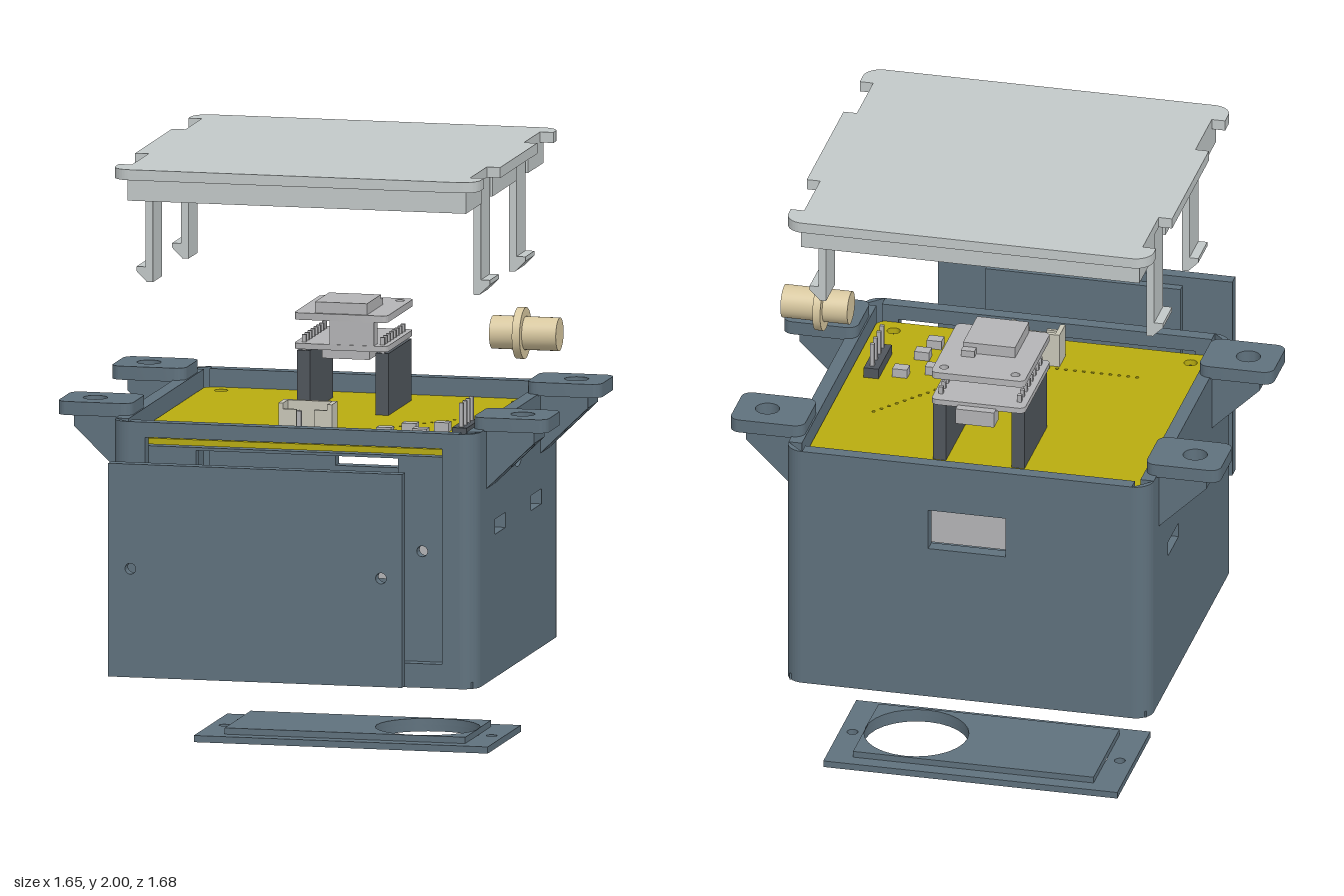
import * as THREE from 'three';
import { toCreasedNormals } from 'three/addons/utils/BufferGeometryUtils.js';

const mat = (color) => new THREE.MeshStandardMaterial({ color });
const SHELL = mat(0x5f717d), LID = mat(0xc2c8c8), BOARD = mat(0xb8ac10), BRASS = mat(0xd8c8a0);
const GREY = mat(0xb4b4b6), DARK = mat(0x50565c), CREAM = mat(0xc9c7b8), TAN = mat(0xc8a47c);
const ZC = -0.26; // middle of the case in z

export function createModel() {
  const model = new THREE.Group();

  function add(name, geo, material, parent = model) {
    const mesh = new THREE.Mesh(geo, material);
    mesh.name = name;
    parent.add(mesh);
    return mesh;
  }
  function group(name) {
    const g = new THREE.Group();
    g.name = name;
    model.add(g);
    return g;
  }
  // box given by its two extreme corners
  function box(name, x0, x1, y0, y1, z0, z1, material, parent) {
    const geo = new THREE.BoxGeometry(x1 - x0, y1 - y0, z1 - z0);
    geo.translate((x0 + x1) / 2, (y0 + y1) / 2, (z0 + z1) / 2);
    return add(name, geo, material, parent);
  }
  function rect(x0, x1, y0, y1, r = 0) {
    const s = new THREE.Shape();
    if (!r) {
      s.moveTo(x0, y0).lineTo(x1, y0).lineTo(x1, y1).lineTo(x0, y1).closePath();
      return s;
    }
    s.absarc(x1 - r, y0 + r, r, -Math.PI / 2, 0);
    s.absarc(x1 - r, y1 - r, r, 0, Math.PI / 2);
    s.absarc(x0 + r, y1 - r, r, Math.PI / 2, Math.PI);
    s.absarc(x0 + r, y0 + r, r, Math.PI, Math.PI * 1.5);
    s.closePath();
    return s;
  }
  const circle = (x, y, r) => new THREE.Shape().absarc(x, y, r, 0, Math.PI * 2);
  function extrude(shape, holes, depth) {
    shape.holes.push(...holes);
    return new THREE.ExtrudeGeometry(shape, { depth, bevelEnabled: false, curveSegments: 14 });
  }
  const crease = (geo) => toCreasedNormals(geo, 0.6);
  // plates facing front, up (shape y is -z) and sideways (shape x is -z)
  const frontPlate = (shape, holes, z0, z1) => crease(extrude(shape, holes, z1 - z0).translate(0, 0, z0));
  const flatPlate = (shape, holes, y0, y1) => crease(extrude(shape, holes, y1 - y0).rotateX(-Math.PI / 2).translate(0, y0, 0));
  const sidePlate = (shape, holes, x0, x1) => crease(extrude(shape, holes, x1 - x0).rotateY(Math.PI / 2).translate(x0, 0, 0));

  // ---- case: walls with openings, round corner posts, recessed floor
  const shell = group('case');
  const B = 0.32, T = 1.165, R = 0.06, W = 0.045;
  const screwHoles = [-1, 1].map((s) => circle(s * 0.422, 0.765, 0.018));
  add('frontWall', frontPlate(rect(-0.555, 0.555, B, T), [rect(-0.5, 0.5, 0.4, 1.115)], 0.32 - W, 0.32), SHELL, shell);
  add('frontRebate', frontPlate(rect(-0.57, 0.57, 0.33, 1.08), [rect(-0.34, 0.34, 0.47, 1.07), ...screwHoles], 0.235, 0.32 - W), SHELL, shell);
  add('backWall', frontPlate(rect(-0.555, 0.555, B, T), [rect(-0.13, 0.13, 0.86, 1.0)], -0.84, -0.84 + W), SHELL, shell);
  for (const s of [-1, 1]) {
    const holes = [rect(-0.06, 0.085, 0.795, 0.845), rect(0.435, 0.58, 0.795, 0.845)];
    if (s > 0) holes.push(circle(0.26, 1.03, 0.06));
    const x0 = s > 0 ? 0.615 - W : -0.615;
    add('sideWall', sidePlate(rect(-0.26, 0.78, B, T), holes, x0, x0 + W), SHELL, shell);
  }
  const quarter = () => new THREE.Shape().moveTo(0, 0).absarc(0, 0, R, 0, Math.PI / 2).closePath();
  [[0.555, 0.78, 0], [-0.555, 0.78, 1], [-0.555, -0.26, 2], [0.555, -0.26, 3]].forEach(([x, y, k]) => {
    const geo = extrude(quarter(), [], T - B).rotateZ(k * Math.PI / 2).rotateX(-Math.PI / 2);
    add('cornerPost', crease(geo.translate(x, B, -y)), SHELL, shell);
  });
  add('floor', flatPlate(rect(-0.6, 0.6, -0.305, 0.825), [rect(-0.5, 0.5, 0.335, 0.805)], B, B + 0.022), SHELL, shell);
  add('floorRebate', flatPlate(rect(-0.57, 0.57, -0.275, 0.8),
    [rect(-0.41, 0.41, 0.385, 0.755), circle(-0.45, 0.57, 0.016), circle(0.45, 0.57, 0.016)], B + 0.022, B + 0.044), SHELL, shell);

  // ---- mounting ears with drilled gussets
  for (const s of [-1, 1]) for (const z of [0.105, -0.637]) {
    const ear = group('mountingEar');
    add('earPlate', flatPlate(rect(0.575, 0.825, -0.104, 0.104, 0.035), [circle(0.72, 0, 0.04)], 1.16, 1.205), SHELL, ear);
    const g = extrude(rect(0.6, 0.775, -0.07, 0.07), [circle(0.72, 0, 0.04)], 0.1).rotateX(-Math.PI / 2);
    const p = g.attributes.position;
    // slant the underside towards the wall
    for (let i = 0; i < p.count; i++) p.setY(i, p.getY(i) > 0.05 ? 1.16 : 0.965 + (p.getX(i) - 0.615) * 0.97);
    g.computeVertexNormals();
    add('earGusset', crease(g), SHELL, ear);
    if (s < 0) ear.rotation.y = Math.PI;
    ear.position.z = z;
  }

  // ---- lid: notched plate, skirt and snap clips
  const lid = group('lid');
  const o = new THREE.Shape();
  const notches = [[-0.215, 0.012], [0.525, 0.748]]; // along -z
  o.absarc(0.555, -0.26, R, -Math.PI / 2, 0);
  for (const [a, b] of notches) o.lineTo(0.615, a).lineTo(0.57, a).lineTo(0.57, b).lineTo(0.615, b);
  o.absarc(0.555, 0.78, R, 0, Math.PI / 2);
  o.absarc(-0.555, 0.78, R, Math.PI / 2, Math.PI);
  for (const [a, b] of [...notches].reverse()) o.lineTo(-0.615, b).lineTo(-0.57, b).lineTo(-0.57, a).lineTo(-0.615, a);
  o.absarc(-0.555, -0.26, R, Math.PI, Math.PI * 1.5);
  add('lidPlate', flatPlate(o, [], 1.965, 2), LID, lid);
  box('lidSkirt', -0.57, 0.57, 1.89, 1.965, 0.245, 0.275, LID, lid);
  box('lidSkirt', -0.57, 0.57, 1.89, 1.965, -0.795, -0.765, LID, lid);
  for (const s of [-1, 1]) {
    for (const [a, b] of [[0.06, 0.245], [-0.43, -0.09], [-0.765, -0.58]])
      box('lidSkirt', Math.min(s * 0.54, s * 0.57), Math.max(s * 0.54, s * 0.57), 1.89, 1.965, a, b, LID, lid);
    for (const z of [-0.013, -0.505]) {
      const c = new THREE.Shape().moveTo(0.54, 1.97).lineTo(0.54, 1.585).lineTo(0.56, 1.585)
        .lineTo(0.595, 1.62).lineTo(0.595, 1.635).lineTo(0.565, 1.635).lineTo(0.565, 1.97).closePath();
      const clip = add('snapClip', frontPlate(c, [], -0.063, 0.063), LID, lid);
      if (s < 0) clip.rotation.y = Math.PI;
      clip.position.z = z;
    }
  }

  // ---- front cover
  const cover = group('frontCover');
  const coverHoles = () => [-1, 1].map((s) => circle(s * 0.422, 0.765, 0.018));
  add('coverPlate', frontPlate(rect(-0.497, 0.493, 0.405, 1.112), coverHoles(), 0.803, 0.845), SHELL, cover);
  add('coverStep', frontPlate(rect(-0.33, 0.327, 0.48, 1.08), [], 0.773, 0.803), SHELL, cover);

  // ---- bottom cover with two round openings
  const base = group('bottomCover');
  const eyes = () => [-1, 1].map((s) => circle(s * 0.235, 0.57, 0.172));
  add('basePlate', flatPlate(rect(-0.497, 0.493, 0.34, 0.8), [...eyes(), circle(-0.45, 0.57, 0.018), circle(0.45, 0.57, 0.018)], 0, 0.022), SHELL, base);
  add('baseStep', flatPlate(rect(-0.405, 0.405, 0.39, 0.75), eyes(), 0.022, 0.043), SHELL, base);

  // ---- circuit board, with corner and trace holes
  const holes = [];
  for (const x of [-0.5, 0.5]) for (const y of [-0.21, 0.73]) holes.push(circle(x, y, 0.022));
  for (let i = 0; i < 12; i++) {
    holes.push(rect(-0.36 + i * 0.03, -0.35 + i * 0.03, -0.07, -0.06));
    holes.push(rect(0.2 + i * 0.02, 0.21 + i * 0.02, 0.1 + i * 0.025, 0.11 + i * 0.025));
  }
  add('circuitBoard', flatPlate(rect(-0.568, 0.568, -0.273, 0.793, 0.03), holes, 1.085, 1.105), BOARD);

  // ---- plugs and small chips on the board
  const plug = group('plugSocket');
  box('socketBase', -0.09, 0.09, 1.105, 1.125, 0.08, 0.16, CREAM, plug);
  box('socketBack', -0.09, 0.09, 1.125, 1.22, 0.08, 0.095, CREAM, plug);
  for (const s of [-1, 1]) {
    box('socketSide', s * 0.082 - 0.008, s * 0.082 + 0.008, 1.125, 1.22, 0.095, 0.16, CREAM, plug);
    box('socketFront', s * 0.06 - 0.03, s * 0.06 + 0.03, 1.125, 1.2, 0.148, 0.16, CREAM, plug);
    box('socketPin', s * 0.03 - 0.008, s * 0.03 + 0.008, 1.125, 1.19, 0.113, 0.129, GREY, plug);
  }
  const header = group('pinHeader');
  box('headerBase', 0.465, 0.515, 1.105, 1.14, -0.145, 0.04, DARK, header);
  for (let i = 0; i < 4; i++) box('headerPin', 0.485, 0.499, 1.14, 1.22, -0.127 + i * 0.046, -0.115 + i * 0.046, GREY, header);
  for (const [x, z] of [[0.36, 0.04], [0.3, -0.06], [0.4, -0.1], [0.34, 0.13], [0.24, 0.04]])
    box('chip', x - 0.025, x + 0.025, 1.105, 1.135, z - 0.02, z + 0.02, GREY);

  // ---- stacked controller modules on two header strips
  const stack = group('controllerStack');
  for (const s of [-1, 1]) {
    box('headerStrip', s * 0.132 - 0.022, s * 0.132 + 0.022, 1.105, 1.31, -0.675, -0.36, DARK, stack);
    for (let i = 0; i < 8; i++)
      box('stripPin', s * 0.132 - 0.007, s * 0.132 + 0.007, 1.3, 1.362, -0.657 + i * 0.04, -0.643 + i * 0.04, GREY, stack);
  }
  add('lowerModule', flatPlate(rect(-0.16, 0.155, 0.335, 0.7, 0.02), [], 1.318, 1.337), GREY, stack);
  box('lowerChip', -0.08, 0.08, 1.28, 1.318, -0.6, -0.4, GREY, stack);
  box('usbPort', -0.065, 0.065, 1.272, 1.325, -0.73, -0.665, GREY, stack);
  box('bridgeHeader', -0.04, 0.11, 1.337, 1.416, -0.385, -0.338, GREY, stack);
  add('upperModule', flatPlate(rect(-0.16, 0.155, 0.335, 0.705, 0.02),
    [circle(-0.12, 0.66, 0.015), circle(0.12, 0.66, 0.015)], 1.415, 1.438), GREY, stack);
  box('upperChip', -0.09, 0.085, 1.438, 1.475, -0.54, -0.345, GREY, stack);
  box('upperPort', 0.04, 0.085, 1.438, 1.46, -0.57, -0.54, GREY, stack);

  // ---- battery tray inside the case
  box('battery', -0.42, 0.42, 0.64, 0.77, -0.36, 0.1, GREY);
  box('batteryTab', 0.16, 0.32, 0.77, 0.785, 0.0, 0.09, TAN);

  // ---- antenna connector
  const jack = group('antennaConnector');
  const tube = [[0, 0.53], [0.055, 0.53], [0.055, 0.614], [0.085, 0.614], [0.085, 0.64], [0.055, 0.64], [0.055, 0.755], [0, 0.755]];
  const lathe = new THREE.LatheGeometry(tube.map(([r, y]) => new THREE.Vector2(r, y)), 32);
  add('connectorBody', crease(lathe.rotateZ(-Math.PI / 2)), BRASS, jack);
  jack.position.set(0, 1.413, ZC);

  return model;
}
